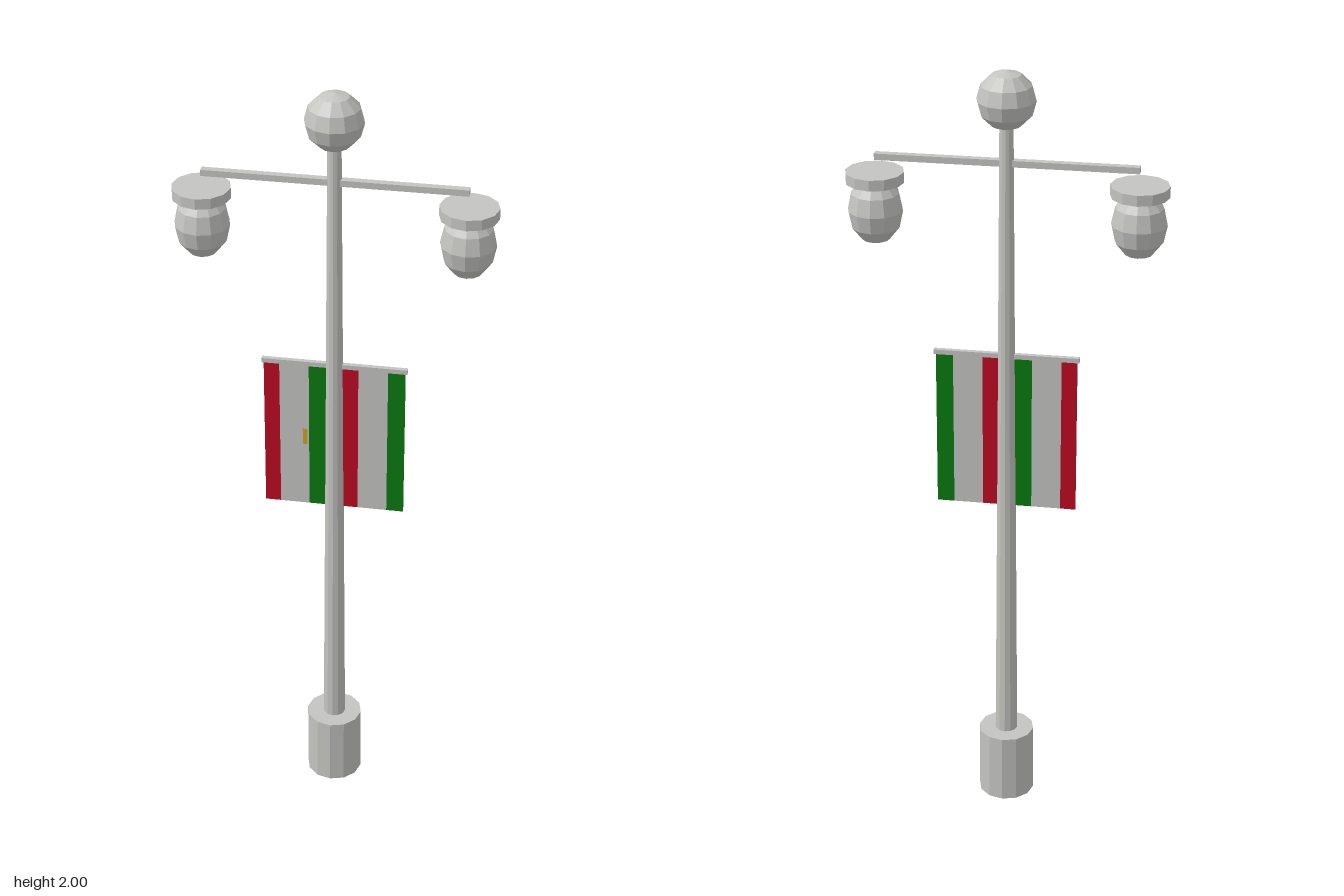
import * as THREE from 'three';

const flat = (name, color) => {
  const m = new THREE.MeshStandardMaterial({ color, flatShading: true });
  m.name = name;
  return m;
};

export function createModel() {
  const root = new THREE.Group();
  root.name = 'streetLamp';
  const metal = flat('lightGrey', 0xc4c4c1);
  const red = flat('red', 0xbb0a22);
  const green = flat('green', 0x087a10);
  const gold = flat('gold', 0xc9a227);

  const add = (parent, name, geometry, material, x, y, z = 0) => {
    const mesh = new THREE.Mesh(geometry, material);
    mesh.name = name;
    mesh.position.set(x, y, z);
    parent.add(mesh);
    return mesh;
  };

  // Footing, tapered pole and ball finial
  add(root, 'base', new THREE.CylinderGeometry(0.072, 0.072, 0.186, 12), metal, 0, 0.093);
  add(root, 'pole', new THREE.CylinderGeometry(0.017, 0.029, 1.7, 12), metal, 0, 1.03);
  add(root, 'finial', new THREE.SphereGeometry(0.072, 12, 6), metal, 0, 1.928);

  // Cross arm
  add(root, 'crossArm', new THREE.BoxGeometry(0.64, 0.016, 0.018), metal, 0, 1.772);

  // Lamp heads and banners on both sides
  for (const side of [-1, 1]) {
    const lamp = new THREE.Group();
    lamp.name = side < 0 ? 'rightLamp' : 'leftLamp';
    lamp.position.x = side * 0.321;
    root.add(lamp);
    add(lamp, 'lampCap', new THREE.CylinderGeometry(0.072, 0.072, 0.027, 12), metal, 0, 1.72);
    add(lamp, 'lampBulb', new THREE.SphereGeometry(0.068, 12, 6).scale(1, 1.27, 1), metal, 0, 1.635);

    // Stripes keep the same order on both banners
    const banner = new THREE.Group();
    banner.name = side < 0 ? 'rightBanner' : 'leftBanner';
    root.add(banner);
    const stripes = side < 0
      ? [['redStripe', red, -0.177, -0.138], ['paleStripe', metal, -0.138, -0.064], ['greenStripe', green, -0.064, -0.015]]
      : [['redStripe', red, 0.015, 0.06], ['paleStripe', metal, 0.06, 0.134], ['greenStripe', green, 0.134, 0.177]];
    for (const [name, material, x0, x1] of stripes) {
      add(banner, name, new THREE.BoxGeometry(x1 - x0, 0.41, 0.004), material, (x0 + x1) / 2, 1.059);
    }
  }

  // Small gold ornament on the front of one banner
  add(root, 'bannerOrnament', new THREE.BoxGeometry(0.012, 0.045, 0.002), gold, -0.074, 1.055, 0.002);

  // Rod carrying the banners
  add(root, 'bannerRod', new THREE.BoxGeometry(0.364, 0.012, 0.012), metal, 0, 1.269);

  return root;
}
